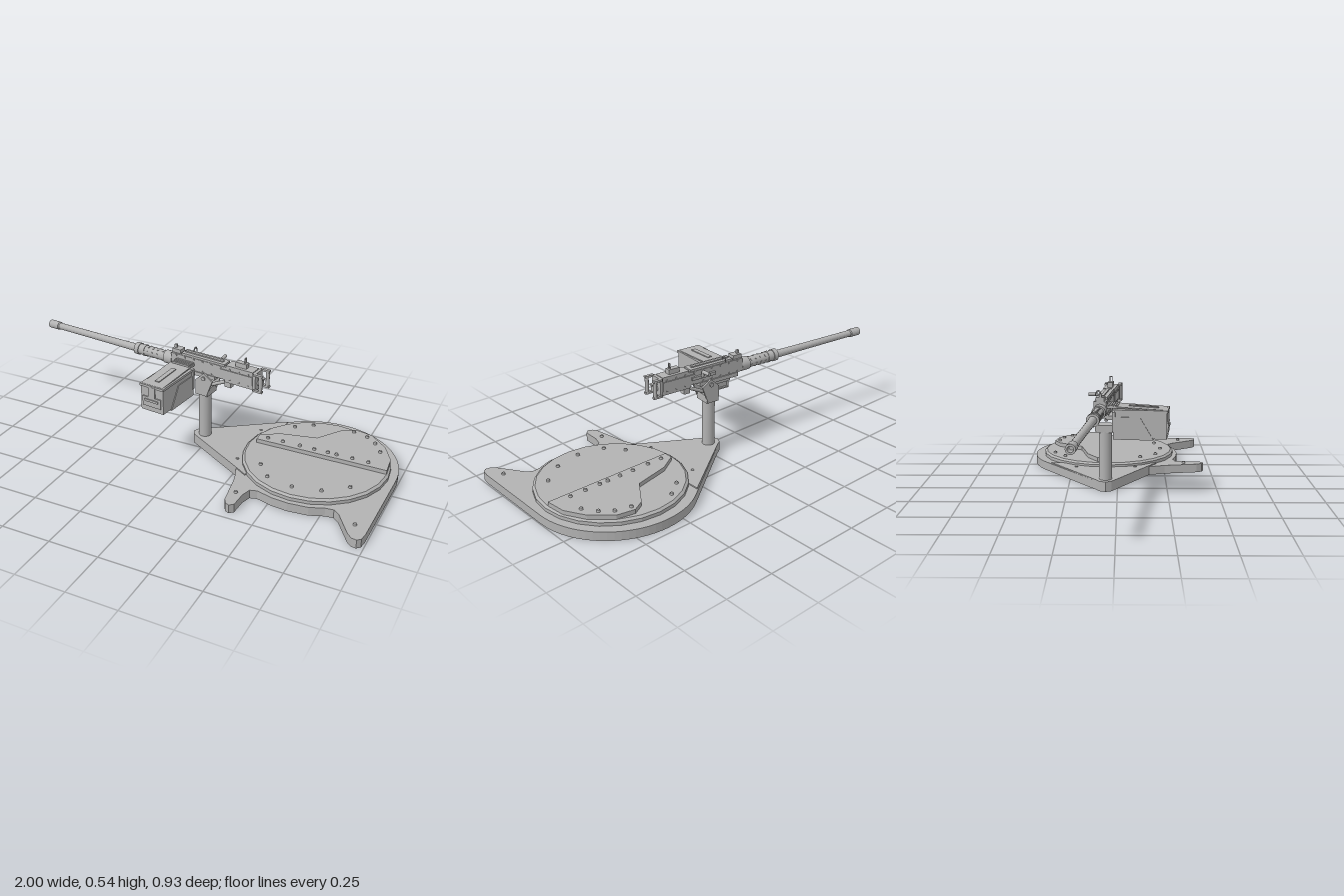
import * as THREE from 'three';

const grey = new THREE.MeshStandardMaterial({ color: 0xb2b2b2 });
grey.name = 'plain grey';

function add(parent, name, geometry, x = 0, y = 0, z = 0) {
  const mesh = new THREE.Mesh(geometry, grey);
  mesh.name = name;
  mesh.position.set(x, y, z);
  parent.add(mesh);
  return mesh;
}

// Box given by its limits on each axis
const box = (parent, name, x0, x1, y0, y1, z0, z1) =>
  add(parent, name, new THREE.BoxGeometry(x1 - x0, y1 - y0, z1 - z0), (x0 + x1) / 2, (y0 + y1) / 2, (z0 + z1) / 2);

// Round bar between two points
function rod(parent, name, a, b, r, sides = 10) {
  const p = new THREE.Vector3(...a), q = new THREE.Vector3(...b);
  const d = q.clone().sub(p);
  const mesh = add(parent, name, new THREE.CylinderGeometry(r, r, d.length(), sides));
  mesh.position.copy(p).add(q).multiplyScalar(0.5);
  mesh.quaternion.setFromUnitVectors(new THREE.Vector3(0, 1, 0), d.normalize());
  return mesh;
}

// Flat plate from an [x, z] outline, between two heights
function plate(parent, name, points, y0, y1, hole) {
  const shape = new THREE.Shape(points.map(([x, z]) => new THREE.Vector2(x, -z)));
  if (hole) shape.holes.push(new THREE.Path(hole.map(([x, z]) => new THREE.Vector2(x, -z))));
  const geometry = new THREE.ExtrudeGeometry(shape, { depth: y1 - y0, bevelEnabled: false });
  geometry.rotateX(-Math.PI / 2);
  return add(parent, name, geometry, 0, y0, 0);
}

// Upright plate from an [x, y] outline, between two depths
function cheek(parent, name, points, z0, z1) {
  const shape = new THREE.Shape(points.map(([x, y]) => new THREE.Vector2(x, y)));
  return add(parent, name, new THREE.ExtrudeGeometry(shape, { depth: z1 - z0, bevelEnabled: false }), 0, 0, z0);
}

// Faceted solid of revolution from [radius, height] pairs
function turned(profile, sides) {
  const geometry = new THREE.LatheGeometry(profile.map(([r, y]) => new THREE.Vector2(r, y)), sides).toNonIndexed();
  geometry.computeVertexNormals();
  return geometry;
}

// Moves a closed outline inward along its normals
function inset(points, amount) {
  const n = points.length;
  const area = points.reduce((s, [x, z], i) => {
    const [u, v] = points[(i + 1) % n];
    return s + x * v - u * z;
  }, 0);
  const side = Math.sign(area) * amount;
  return points.map(([x, z], i) => {
    const [ax, az] = points[(i + n - 1) % n], [bx, bz] = points[(i + 1) % n];
    const len = Math.hypot(bx - ax, bz - az);
    return [x - side * (bz - az) / len, z + side * (bx - ax) / len];
  });
}

function buildBase() {
  const base = new THREE.Group();
  base.name = 'base';
  const CX = 0.6, CZ = -0.055;

  // Outline: rounded nose, two feet, then the big arc at the back
  const nose = [[-0.025, -0.108], [-0.055, -0.09], [-0.07, -0.06], [-0.055, -0.03], [-0.025, -0.012]];
  const outline = [
    ...nose, [0.27, 0.165], [0.3, 0.25],
    [0.33, 0.425], [0.345, 0.453], [0.367, 0.463], [0.387, 0.445], [0.39, 0.36], [0.405, 0.31], [0.44, 0.3],
    [0.52, 0.322], [0.6, 0.33], [0.7, 0.32], [0.77, 0.292], [0.81, 0.287], [0.84, 0.31], [0.92, 0.43],
    [0.945, 0.453], [0.97, 0.457], [0.987, 0.44], [0.993, 0.4],
  ];
  for (let i = 0; i <= 28; i++) {
    const a = i / 28 * 2.2;
    outline.push([CX + 0.397 * Math.cos(a), -0.068 - 0.397 * Math.sin(a)]);
  }
  const ring = Array.from({ length: 40 }, (_, i) =>
    [CX + 0.347 * Math.cos(i * Math.PI / 20), CZ + 0.347 * Math.sin(i * Math.PI / 20)]);

  plate(base, 'baseSkirt', outline, 0, 0.034, inset(outline, 0.01));
  plate(base, 'basePlate', outline, 0.034, 0.045, ring);
  plate(base, 'nosePlate', [...nose, [0.27, 0.165], [0.335, 0.205], [0.335, -0.36]], 0.043, 0.051);
  box(base, 'crossBeam', 0.335, 0.365, 0, 0.036, -0.365, 0.43);

  // Round hatch, hollow below, with a raised half cover on top
  add(base, 'hatchDisc', turned([[0, 0.058], [0.345, 0.058], [0.345, 0.03], [0.362, 0.03], [0.362, 0.062],
    [0.35, 0.071], [0, 0.071]], 24), CX, 0, CZ);
  plate(base, 'raisedCover', [
    [0.95, -0.063], [0.94, -0.165], [0.885, -0.265], [0.79, -0.35], [0.7, -0.368], [0.64, -0.335],
    [0.55, -0.205], [0.37, -0.165], [0.28, -0.11], [0.28, -0.063],
  ], 0.07, 0.092);

  // Bolts, grouped by the height they sit on
  const bolts = [
    [0.092, [[0.33, -0.093], [0.41, -0.093], [0.5, -0.093], [0.575, -0.093], [0.645, -0.093], [0.69, -0.093],
      [0.77, -0.093], [0.85, -0.093], [0.7, -0.34], [0.775, -0.32], [0.83, -0.275], [0.875, -0.21]]],
    [0.071, [[0.48, -0.35], [0.4, -0.29], [0.38, 0.12], [0.45, 0.205], [0.585, 0.235], [0.72, 0.205], [0.83, 0.12]]],
    [0.045, [[0.24, -0.22], [0.245, 0.09], [0.355, 0.355], [0.93, 0.355]]],
  ];
  for (const [y, spots] of bolts) {
    for (const [x, z] of spots) add(base, 'bolt', new THREE.CylinderGeometry(0.007, 0.01, 0.012, 8), x, y + 0.004, z);
  }

  add(base, 'post', new THREE.CylinderGeometry(0.032, 0.032, 0.298, 24), -0.005, 0.149, -0.06);
  return base;
}

function buildGun() {
  const gun = new THREE.Group();
  gun.name = 'gun';
  const Y = 0.432;

  // Barrel, muzzle with an open bore, and collared jacket
  const barrel = turned([[0.012, -0.96], [0.013, -1.005], [0.022, -1.005], [0.022, -0.945], [0.0175, -0.94],
    [0.0185, -0.6], [0.02, -0.42]], 20);
  barrel.rotateZ(-Math.PI / 2);
  add(gun, 'barrel', barrel, 0, Y, 0);
  rod(gun, 'bore', [-0.965, Y, 0], [-0.95, Y, 0], 0.013);
  rod(gun, 'jacket', [-0.4, Y, 0], [-0.19, Y, 0], 0.027, 20);
  for (const [x, w, r] of [[-0.412, 0.025, 0.031], [-0.37, 0.012, 0.03], [-0.215, 0.05, 0.034]]) {
    rod(gun, 'jacketCollar', [x - w / 2, Y, 0], [x + w / 2, Y, 0], r, 20);
  }
  for (let i = 0; i < 4; i++) {
    for (let k = 0; k < 6; k++) {
      const a = k * Math.PI / 3 + 0.3, c = Math.cos(a), s = Math.sin(a), x = -0.345 + i * 0.03;
      rod(gun, 'jacketStud', [x, Y + c * 0.02, s * 0.02], [x, Y + c * 0.0285, s * 0.0285], 0.006, 8);
    }
  }

  // Receiver body, cover and side details
  box(gun, 'receiver', -0.19, 0.285, 0.41, 0.478, -0.03, 0.03);
  box(gun, 'lowerReceiver', 0.12, 0.285, 0.395, 0.412, -0.026, 0.026);
  box(gun, 'topCover', -0.13, 0.12, 0.476, 0.489, -0.027, 0.027);
  box(gun, 'rearCover', 0.13, 0.28, 0.476, 0.489, -0.03, 0.03);
  box(gun, 'coverHinge', -0.19, -0.14, 0.476, 0.498, -0.02, 0.02);
  box(gun, 'coverRib', -0.12, 0.1, 0.488, 0.495, -0.008, 0.008);
  for (const s of [-1, 1]) {
    box(gun, 'sidePlate', 0.1, 0.28, 0.42, 0.465, s * 0.032 - 0.003, s * 0.032 + 0.003);
    for (let i = 0; i < 9; i++) {
      const x = -0.16 + i * 0.052;
      for (const y of [0.417, 0.47]) rod(gun, 'rivet', [x, y, s * 0.028], [x, y, s * 0.034], 0.005, 8);
    }
  }

  // Sights
  box(gun, 'frontSight', -0.185, -0.172, 0.49, 0.515, -0.006, 0.006);
  box(gun, 'rearSightBase', 0.175, 0.235, 0.488, 0.513, -0.014, 0.014);
  for (const s of [-1, 1]) box(gun, 'rearSightLeaf', 0.22, 0.225, 0.51, 0.54, s * 0.006 - 0.0015, s * 0.006 + 0.0015);
  box(gun, 'rearSightTop', 0.22, 0.225, 0.536, 0.54, -0.007, 0.007);

  // Charging handle on the far side, with its slide
  box(gun, 'slide', -0.02, 0.12, 0.437, 0.452, -0.042, -0.029);
  rod(gun, 'chargingArm', [0.06, 0.445, -0.04], [0.06, 0.472, -0.05], 0.008);
  rod(gun, 'chargingHandle', [0.06, 0.472, -0.045], [0.055, 0.472, -0.092], 0.009, 12);
  const loop = add(gun, 'coverLoop', new THREE.TorusGeometry(0.014, 0.003, 6, 14, Math.PI), -0.08, 0.488, -0.024);
  loop.scale.y = 1.6;
  loop.rotation.y = Math.PI / 2;

  // Back plate, trigger button and spade grips
  box(gun, 'backPlate', 0.283, 0.298, 0.395, 0.488, -0.036, 0.036);
  rod(gun, 'buffer', [0.295, Y, 0], [0.318, Y, 0], 0.016, 14);
  for (const s of [-1, 1]) {
    for (const y of [0.402, 0.485]) box(gun, 'gripBracket', 0.29, 0.338, y - 0.005, y + 0.005, s * 0.036 - 0.008, s * 0.036 + 0.008);
    rod(gun, 'spadeGrip', [0.327, 0.397, s * 0.036], [0.327, 0.49, s * 0.036], 0.0095, 12);
  }
  box(gun, 'trigger', 0.298, 0.328, 0.452, 0.459, -0.01, 0.01);

  // Yoke on the post
  box(gun, 'yokeBase', -0.036, 0.034, 0.294, 0.332, -0.043, 0.043);
  for (const s of [-1, 1]) {
    cheek(gun, 'yokeCheek', [[-0.033, 0.3], [0.03, 0.3], [0.062, 0.385], [0.012, 0.42], [-0.036, 0.375]], s * 0.042 - 0.005, s * 0.042 + 0.005);
    rod(gun, 'pivotBolt', [0.012, 0.392, s * 0.04], [0.012, 0.392, s * 0.054], 0.011, 12);
  }
  box(gun, 'cradle', -0.16, 0.07, 0.392, 0.412, -0.036, 0.036);
  rod(gun, 'elevationStrut', [0.03, 0.345, 0], [0.135, 0.395, 0], 0.009);
  box(gun, 'elevationFoot', 0.115, 0.15, 0.363, 0.398, -0.015, 0.015);
  return gun;
}

function buildAmmoBox() {
  const ammo = new THREE.Group();
  ammo.name = 'ammoBox';
  box(ammo, 'boxBody', -0.17, -0.042, 0.298, 0.43, 0.07, 0.318);
  box(ammo, 'boxLid', -0.174, -0.038, 0.425, 0.437, 0.068, 0.323);
  // Lid top rising towards the gun
  const slope = box(ammo, 'lidSlope', -0.165, -0.047, 0.438, 0.444, 0.072, 0.315);
  slope.rotation.x = 0.05;
  const strap = box(ammo, 'lidStrap', -0.118, -0.094, 0.443, 0.448, 0.13, 0.275);
  strap.rotation.x = 0.05;
  // Front latch panel and grip
  box(ammo, 'latchPanel', -0.158, -0.054, 0.325, 0.375, 0.316, 0.324);
  box(ammo, 'latchGrip', -0.145, -0.067, 0.352, 0.364, 0.323, 0.329);
  box(ammo, 'latchClip', -0.125, -0.087, 0.375, 0.43, 0.316, 0.324);
  // Tray cheeks either side of the box
  for (const x of [-0.1745, -0.0425]) {
    const side = cheek(ammo, 'trayCheek', [[-0.255, 0.293], [-0.19, 0.402], [-0.06, 0.402], [-0.06, 0.293]], 0, 0.005);
    side.rotation.y = Math.PI / 2;
    side.position.x = x;
  }
  box(ammo, 'trayFloor', -0.174, -0.038, 0.292, 0.299, 0.06, 0.254);
  // Bracket and feed chute to the receiver
  box(ammo, 'trayBack', -0.178, -0.034, 0.33, 0.425, 0.055, 0.071);
  box(ammo, 'trayArm', -0.16, -0.05, 0.385, 0.405, 0.025, 0.06);
  box(ammo, 'feedChute', -0.16, -0.05, 0.44, 0.45, 0.025, 0.08);
  for (let i = 0; i < 5; i++) {
    const z = 0.032 + i * 0.011;
    rod(ammo, 'cartridge', [-0.155, 0.452, z], [-0.055, 0.452, z], 0.005, 8);
  }
  return ammo;
}

export function createModel() {
  const model = new THREE.Group();
  model.name = 'hatchMount';
  // Gun and ammo box swing together on the post
  const swivel = new THREE.Group();
  swivel.name = 'swivel';
  swivel.position.set(0, 0, -0.06);
  swivel.rotation.y = -0.113;
  swivel.add(buildGun(), buildAmmoBox());
  model.add(buildBase(), swivel);
  return model;
}
